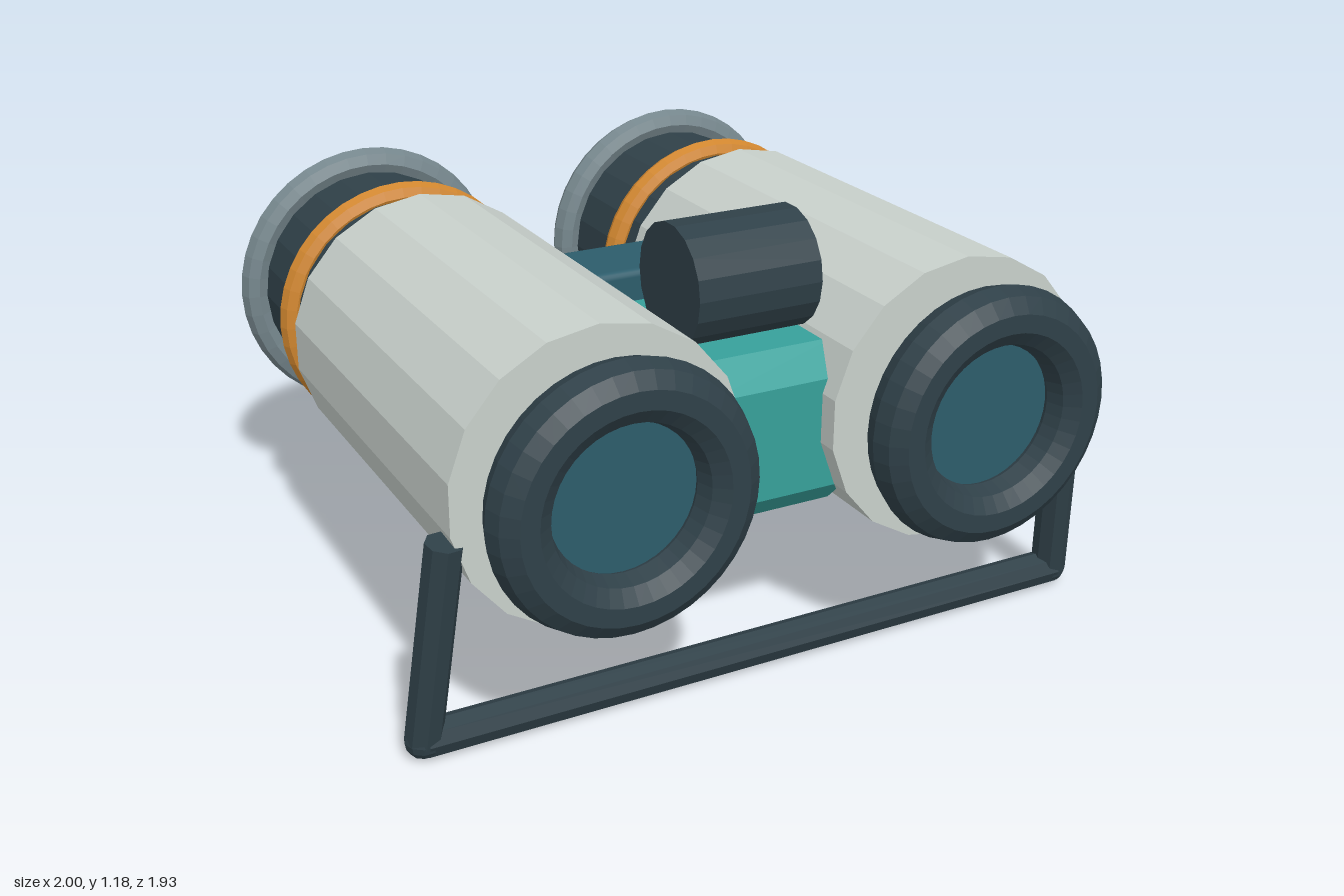
import * as THREE from 'three';
import { RoundedBoxGeometry } from 'three/addons/geometries/RoundedBoxGeometry.js';

const paint = (name, color) => {
  const m = new THREE.MeshStandardMaterial({ color });
  m.name = name;
  return m;
};

// Faceted normals for the low-poly look
function faceted(geo) {
  const g = geo.index ? geo.toNonIndexed() : geo;
  g.computeVertexNormals();
  return g;
}

export function createModel() {
  const group = new THREE.Group();
  group.name = 'binoculars';

  const shell = paint('pale grey shell', 0xc8d0cb);
  const rubber = paint('dark slate rubber', 0x2f4048);
  const orange = paint('orange trim', 0xd0862f);
  const metal = paint('grey metal', 0x75868c);
  const teal = paint('teal', 0x37a09a);
  const glass = paint('blue glass', 0x2c5c6b);

  function add(parent, name, geo, mat, x = 0, y = 0, z = 0) {
    const mesh = new THREE.Mesh(geo, mat);
    mesh.name = name;
    mesh.position.set(x, y, z);
    parent.add(mesh);
    return mesh;
  }

  // Cylinder lying along z between two depths
  const tubeZ = (r, z0, z1, sides) =>
    faceted(new THREE.CylinderGeometry(r, r, z1 - z0, sides).rotateX(Math.PI / 2).translate(0, 0, (z0 + z1) / 2));
  const ring = (R, r, radial, around) => faceted(new THREE.TorusGeometry(R, r, radial, around));

  // Two mirrored optical tubes
  for (const side of [1, -1]) {
    const tube = new THREE.Group();
    tube.name = side > 0 ? 'leftTube' : 'rightTube';
    tube.position.set(side * 0.513, 0.69, 0);
    group.add(tube);

    add(tube, 'barrel', tubeZ(0.387, -0.375, 0.767, 18), shell);
    add(tube, 'objectiveTube', tubeZ(0.335, -0.87, -0.37, 24), rubber);
    add(tube, 'trimRing', ring(0.341, 0.037, 8, 40), orange, 0, 0, -0.542);
    add(tube, 'objectiveRim', ring(0.36, 0.043, 8, 40), metal, 0, 0, -0.853);
    add(tube, 'objectiveLens', new THREE.SphereGeometry(0.31, 32, 16), glass, 0, 0, -0.855).scale.z = 0.355;
    add(tube, 'eyecup', ring(0.268, 0.078, 10, 40), rubber, 0, 0, 0.887);
    add(tube, 'eyepieceLens', tubeZ(0.22, 0.85, 0.875, 32), glass);
    // Small glint at the outer edge of the objective lens
    add(tube, 'lensGlint', tubeZ(0.06, -0.906, -0.898, 14), teal, side * 0.257, 0.14, 0);
  }

  // Bridge: chamfered block between the barrels, profile drawn as (z, y)
  const [z0, z1, y0, y1, c] = [0.09, 0.71, 0.42, 0.87, 0.075];
  const profile = new THREE.Shape([
    [z0 + c, y0], [z1 - c, y0], [z1, y0 + c], [z1, y1 - c],
    [z1 - c, y1], [z0 + c, y1], [z0, y1 - c], [z0, y0 + c],
  ].map(([z, y]) => new THREE.Vector2(-z, y)).reverse());
  const bridge = new THREE.ExtrudeGeometry(profile, { depth: 0.42, bevelEnabled: false });
  bridge.translate(0, 0, -0.21).rotateY(Math.PI / 2);
  add(group, 'bridge', bridge, teal);

  // Hinge block and focus knob
  add(group, 'hingeBlock', new RoundedBoxGeometry(0.41, 0.15, 0.235, 2, 0.02), glass, 0, 0.855, -0.0175);
  add(group, 'focusKnob', faceted(new THREE.CylinderGeometry(0.16, 0.16, 0.35, 18).rotateZ(Math.PI / 2)),
    rubber, 0, 1.02, 0.465);

  // Stand: two legs joined by a bar along the ground
  const stand = new THREE.Group();
  stand.name = 'stand';
  group.add(stand);
  const R = 0.048;
  function rod(name, a, b) {
    const dir = b.clone().sub(a);
    const geo = faceted(new THREE.CylinderGeometry(R, R, dir.length(), 8));
    const mesh = add(stand, name, geo, rubber);
    mesh.position.copy(a).add(b).multiplyScalar(0.5);
    mesh.quaternion.setFromUnitVectors(new THREE.Vector3(0, 1, 0), dir.normalize());
  }
  const foot = (s) => new THREE.Vector3(s * 0.951, 0.049, 0.672);
  for (const s of [1, -1]) {
    rod('standLeg', new THREE.Vector3(s * 0.897, 0.6, 0.737), foot(s));
    const f = foot(s);
    add(stand, 'standCorner', faceted(new THREE.SphereGeometry(R, 10, 8)), rubber, f.x, f.y, f.z);
  }
  rod('standBar', foot(-1), foot(1));

  return group;
}
